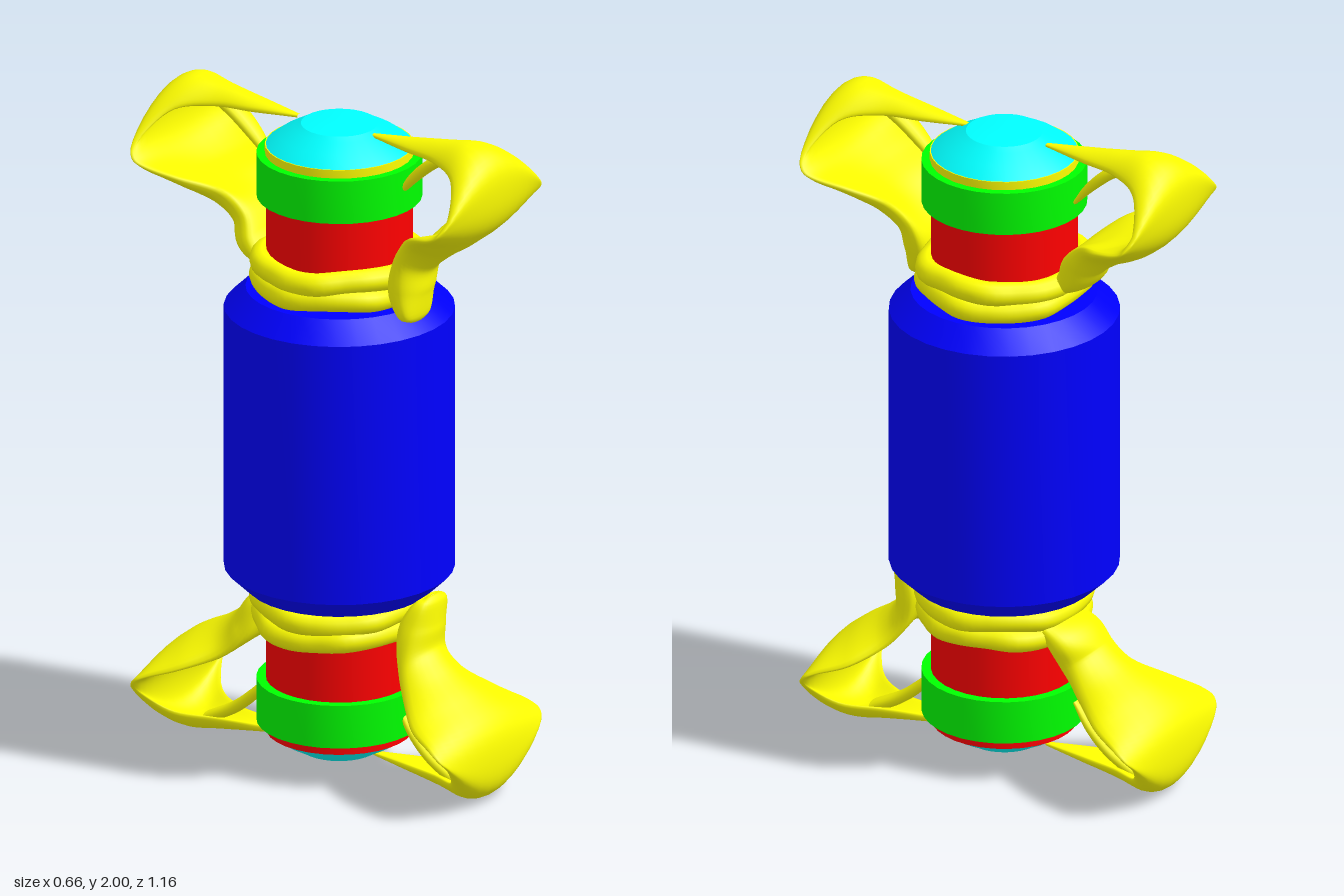
import * as THREE from 'three';
import { toCreasedNormals } from 'three/addons/utils/BufferGeometryUtils.js';

const mat = (color) => new THREE.MeshStandardMaterial({ color });
const blue = mat(0x0000ff), red = mat(0xff0000), green = mat(0x00ff00);
const cyan = mat(0x00ffff), yellow = mat(0xffff00);
const AXIS_Z = 0.012;

function add(parent, name, geometry, material) {
  const mesh = new THREE.Mesh(geometry, material);
  mesh.name = name;
  parent.add(mesh);
}

// Turned solid around the upright axis, from [radius, y] points going up
function turned(points, sides = 32) {
  const lathe = new THREE.LatheGeometry(points.map(([r, y]) => new THREE.Vector2(r, y)), sides);
  return toCreasedNormals(lathe, 0.35).translate(0, 0, AXIS_Z);
}

// Rounded flat sections swept along a path; rows are [x, y, z, halfWidth, thickness, edgeShiftY, edgeShiftZ]
function leaf(rows, steps = 72, around = 32) {
  const curve = (f) => new THREE.CatmullRomCurve3(rows.map((r) => new THREE.Vector3(...f(r))), false, 'catmullrom', 0.5);
  const path = curve((r) => r.slice(0, 3));
  const size = curve((r) => [r[3], r[4], 0]);
  const bend = curve((r) => [0, r[5], r[6]]);
  const pos = [], index = [];
  for (let i = 0; i <= steps; i++) {
    const u = i / steps;
    const p = path.getPoint(u), t = path.getTangent(u), s = size.getPoint(u), b = bend.getPoint(u);
    const n = new THREE.Vector3(0, -t.z, t.y).normalize();
    for (let j = 0; j < around; j++) {
      const a = (j / around) * Math.PI * 2;
      const c = Math.cos(a), sn = Math.sin(a);
      const h = Math.sign(sn) * Math.abs(sn) ** 0.7 * s.y / 2;
      pos.push(p.x + s.x * c, p.y + n.y * h + b.y * c * c, p.z + n.z * h + b.z * c * c);
      if (i < steps) {
        const k = (j + 1) % around, q = i * around, r = q + around;
        index.push(q + j, r + j, r + k, q + j, r + k, q + k);
      }
    }
  }
  const g = new THREE.BufferGeometry();
  g.setAttribute('position', new THREE.Float32BufferAttribute(pos, 3));
  g.setIndex(index);
  g.computeVertexNormals();
  return g;
}

// Cupped blade shared by all wings, from the widening neck over the crown to the pointed tip
const blade = [
  [0, 1.715, 0.465, 0.205, 0.055, 0.035, -0.055],
  [0, 1.775, 0.535, 0.245, 0.045, 0.005, -0.04],
  [0, 1.86, 0.56, 0.252, 0.035, -0.055, -0.025],
  [0, 1.945, 0.55, 0.215, 0.035, -0.1, -0.005],
  [0, 1.983, 0.49, 0.125, 0.035, -0.06, 0],
  [0, 1.972, 0.39, 0.065, 0.035, -0.03, 0],
  [0, 1.955, 0.27, 0.04, 0.03, -0.01, 0],
  [0, 1.947, 0.13, 0.008, 0.01, 0, 0],
];
const frontNeck = [
  [-0.04, 1.437, 0.305, 0.01, 0.01, 0, 0],
  [-0.04, 1.452, 0.305, 0.062, 0.055, 0, 0],
  [-0.025, 1.53, 0.29, 0.085, 0.1, 0, -0.01],
  [-0.01, 1.605, 0.31, 0.1, 0.08, 0.02, -0.02],
  [0, 1.662, 0.375, 0.135, 0.07, 0.035, -0.04],
];
const backNeck = [
  [0.03, 1.53, 0.19, 0.1, 0.06, 0, 0],
  [0.02, 1.575, 0.245, 0.11, 0.1, 0, -0.01],
  [0, 1.63, 0.285, 0.11, 0.1, 0.015, -0.02],
  [0, 1.673, 0.36, 0.135, 0.08, 0.035, -0.04],
];
// Lower fork of the tip, reaching the collar
const prong = [
  [0, 1.965, 0.44, 0.035, 0.035, 0, 0],
  [0, 1.915, 0.35, 0.035, 0.035, 0, 0],
  [0, 1.855, 0.28, 0.028, 0.03, 0, 0],
  [0, 1.79, 0.225, 0.012, 0.012, 0, 0],
];

function wing(name, neck) {
  const g = new THREE.Group();
  g.name = name;
  add(g, 'blade', leaf([...neck, ...blade]), yellow);
  add(g, 'prong', leaf(prong, 16, 12), yellow);
  return g;
}

// Uneven ring of cord wound around the shaft
function cord(y, phase) {
  const pts = Array.from({ length: 18 }, (_, i) => {
    const a = (i / 18) * Math.PI * 2;
    const r = 0.22 + 0.007 * Math.cos(6 * a + phase);
    return new THREE.Vector3(Math.cos(a) * r * 1.03, y + 0.006 * Math.sin(3 * a + phase), AXIS_Z + Math.sin(a) * r * 0.97);
  });
  return new THREE.TubeGeometry(new THREE.CatmullRomCurve3(pts, true), 72, 0.035, 12, true);
}

// Everything at one end: collar, cap, cord and two wings
function endAssembly(name) {
  const g = new THREE.Group();
  g.name = name;
  add(g, 'collar', turned([[0, 1.74], [0.237, 1.74], [0.237, 1.87], [0, 1.87]]), green);
  add(g, 'cap', turned([[0, 1.895], [0.21, 1.895], [0.17, 1.924], [0.13, 1.946], [0.11, 1.958], [0.06, 1.963], [0, 1.964]]), cyan);
  add(g, 'lowerCord', cord(1.495, 0), yellow);
  add(g, 'upperCord', cord(1.548, 1.4), yellow);
  const back = wing('backWing', backNeck);
  back.rotation.y = Math.PI;
  g.add(wing('frontWing', frontNeck), back);
  return g;
}

export function createModel() {
  const model = new THREE.Group();
  model.name = 'capsule';

  // Bevelled central drum
  add(model, 'drum', turned([[0, 0.55], [0.268, 0.55], [0.33, 0.61], [0.33, 1.4], [0.268, 1.46], [0, 1.46]]), blue);

  // Inner shaft and the thin disc under the upper cap
  add(model, 'shaft', turned([[0, 0.105], [0.21, 0.105], [0.21, 1.87], [0, 1.87]]), red);
  add(model, 'topDisc', turned([[0, 1.865], [0.213, 1.865], [0.213, 1.895], [0, 1.895]]), yellow);

  // The lower end is the upper one turned half round
  const lower = endAssembly('lowerEnd');
  lower.rotation.z = Math.PI;
  lower.position.y = 2.005;
  model.add(endAssembly('upperEnd'), lower);
  return model;
}
